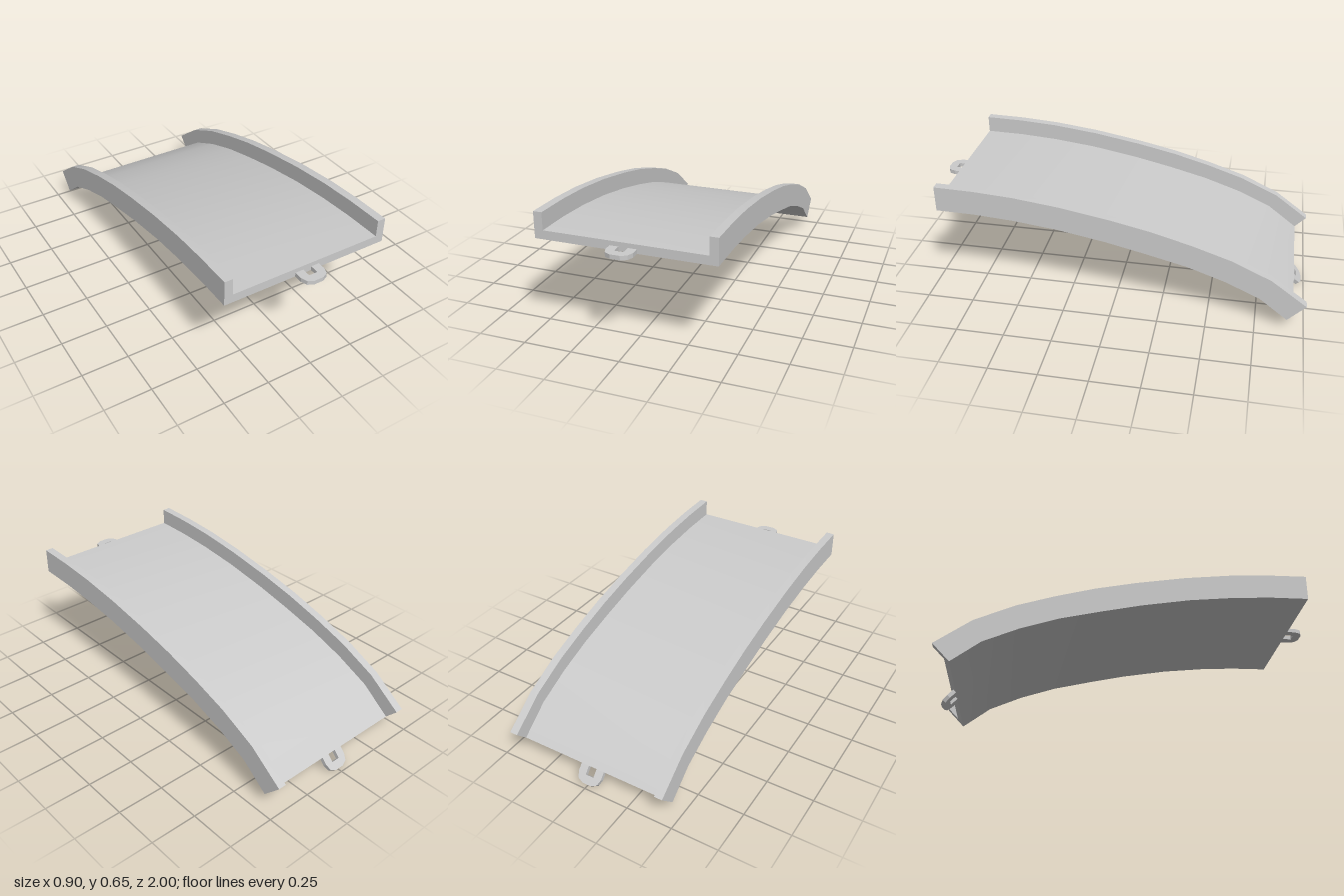
import * as THREE from 'three';
import { toCreasedNormals } from 'three/addons/utils/BufferGeometryUtils.js';

const material = new THREE.MeshStandardMaterial({ color: 0xcccccc });

// Stations from front to back: underside z, y and rail-top z, y
const stations = [
  [0.91, 0.52, 0.91, 0.655],
  [0.71, 0.516, 0.705, 0.65],
  [0.51, 0.502, 0.5, 0.636],
  [0.28, 0.475, 0.26, 0.606],
  [0.03, 0.43, 0.0, 0.56],
  [-0.18, 0.382, -0.21, 0.514],
  [-0.39, 0.33, -0.41, 0.458],
  [-0.585, 0.263, -0.61, 0.392],
  [-0.764, 0.182, -0.815, 0.298],
  [-0.91, 0.068, -1.0, 0.162],
];

// U-shaped section: x, and height as a fraction of the rail height
const W = 0.452, R = 0.408, F = 0.335;
const section = [[-W, 0], [W, 0], [W, 1], [R, 1], [R, F], [-R, F], [-R, 1], [-W, 1]]
  .map(([x, t]) => new THREE.Vector2(x, t));

// Loft the section along the stations and close both ends
function trackGeometry() {
  const n = section.length, last = (stations.length - 1) * n;
  const positions = [], index = [];
  for (const [zb, yb, zt, yt] of stations) {
    for (const p of section) {
      positions.push(p.x, yb + (yt - yb) * p.y, zb + (zt - zb) * p.y);
    }
  }
  for (let s = 0; s < last; s += n) {
    for (let i = 0; i < n; i++) {
      const a = s + i, b = s + (i + 1) % n, c = b + n, d = a + n;
      index.push(a, d, c, a, c, b);
    }
  }
  for (const [a, b, c] of THREE.ShapeUtils.triangulateShape(section, [])) {
    index.push(a, b, c, last + c, last + b, last + a);
  }
  const geometry = new THREE.BufferGeometry();
  geometry.setAttribute('position', new THREE.Float32BufferAttribute(positions, 3));
  geometry.setIndex(index);
  return toCreasedNormals(geometry, Math.PI / 6);
}

// Connector loop: a flat plate with clipped corners and a square opening
function tabGeometry() {
  const half = [[0.023, 0], [0.067, 0], [0.067, 0.043], [0.055, 0.075], [0.025, 0.09]];
  const mirrored = half.map(([x, y]) => [-x, y]).reverse();
  const outline = [...half, ...mirrored, [-0.023, 0.047], [0.023, 0.047]];
  const shape = new THREE.Shape(outline.map(([x, y]) => new THREE.Vector2(x, y)));
  return new THREE.ExtrudeGeometry(shape, { depth: 0.022, bevelEnabled: false });
}

export function createModel() {
  const model = new THREE.Group();
  model.name = 'curvedTrack';

  const add = (name, geometry) => {
    const mesh = new THREE.Mesh(geometry, material);
    mesh.name = name;
    model.add(mesh);
    return mesh;
  };

  add('channel', trackGeometry());

  const tab = tabGeometry();
  const frontTab = add('frontTab', tab);
  frontTab.position.set(0, 0.542, 0.91);
  frontTab.rotation.x = Math.PI / 2;

  const rearTab = add('rearTab', tab);
  rearTab.position.set(0, 0.067, -0.908);
  rearTab.rotation.x = Math.PI + 0.74;

  return model;
}
